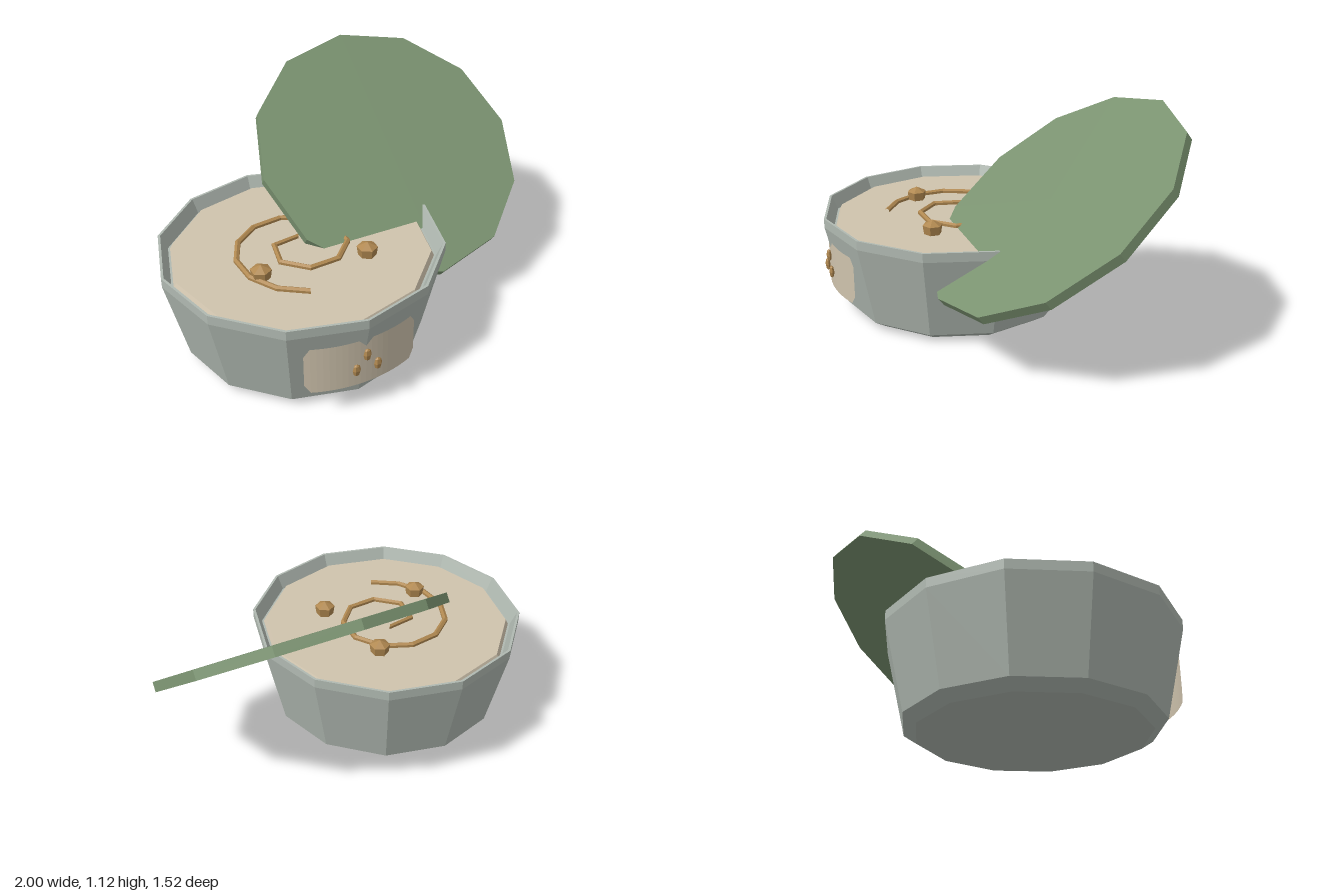
import * as THREE from 'three';

export function createModel() {
  const model = new THREE.Group();
  const paint = (name, color, side = THREE.FrontSide) =>
    new THREE.MeshStandardMaterial({ name, color, flatShading: true, side });
  const grey = paint('tin grey', 0xb0b9b1);
  const green = paint('lid green', 0x7a9270);
  const cream = paint('filling cream', 0xcfc3ad);
  const label = paint('label cream', 0xcfc3ad, THREE.DoubleSide);
  const brown = paint('spice brown', 0xb08850);
  const add = (parent, name, geometry, material, x = 0, y = 0, z = 0) => {
    const mesh = new THREE.Mesh(geometry, material);
    mesh.name = name;
    mesh.position.set(x, y, z);
    parent.add(mesh);
    return mesh;
  };

  // Tin and its contents share one axis
  const tin = new THREE.Group();
  tin.name = 'tin';
  tin.position.set(-0.32, 0, 0.08);
  model.add(tin);

  // Twelve-sided body: foot chamfer, flared wall, rim band, inner wall
  const profile = [[0, 0], [0.525, 0], [0.585, 0.04], [0.68, 0.455], [0.68, 0.5],
    [0.668, 0.5], [0.638, 0.43], [0, 0.43]].map(([r, y]) => new THREE.Vector2(r, y));
  add(tin, 'body', new THREE.LatheGeometry(profile, 12), grey);
  add(tin, 'filling', new THREE.CylinderGeometry(0.615, 0.636, 0.04, 12), cream, 0, 0.435, 0);

  // Swirl lying on the filling
  class Spiral extends THREE.Curve {
    getPoint(t, target = new THREE.Vector3()) {
      const a = THREE.MathUtils.degToRad(108 + 540 * t);
      const r = 0.355 - 0.265 * t;
      return target.set(r * Math.cos(a), 0, r * Math.sin(a));
    }
  }
  add(tin, 'swirl', new THREE.TubeGeometry(new Spiral(), 14, 0.015, 6), brown, 0, 0.46, 0);

  // Six-sided morsels with pointed tops
  const morsel = new THREE.LatheGeometry(
    [[0, -0.035], [0.042, -0.03], [0.05, 0.025], [0, 0.05]].map(([r, y]) => new THREE.Vector2(r, y)), 6);
  for (const [x, z] of [[-0.26, 0.135], [0.25, 0.195], [0.18, -0.24]]) {
    add(tin, 'morsel', morsel, brown, x, 0.474, z);
  }

  // Label: a plate with cut corners, bent around the front of the tin
  const half = 0.425, radius = 0.655;
  const plate = new THREE.PlaneGeometry(2 * half, 0.24, 20, 4);
  const pos = plate.attributes.position;
  for (let i = 0; i < pos.count; i++) {
    const a = pos.getX(i);
    const cut = Math.max(0, Math.abs(a) - half + 0.0425);
    const y = pos.getY(i) * (1 - cut * 8);
    pos.setXYZ(i, radius * Math.sin(a), y, radius * Math.cos(a));
  }
  plate.computeVertexNormals();
  add(tin, 'label', plate, label, 0, 0.262, 0);

  // Three seeds on the label
  const seed = new THREE.SphereGeometry(1, 6, 4).scale(0.02, 0.033, 0.013);
  for (const [x, y] of [[-0.052, 0.237], [0, 0.305], [0.052, 0.237]]) {
    add(tin, 'seed', seed, brown, x, y, 0.666);
  }

  // Lid leaning across the rim
  const lid = add(model, 'lid', new THREE.CylinderGeometry(0.69, 0.69, 0.045, 12), green, 0.305, 0.685, -0.2);
  lid.rotation.x = 0.65;

  return model;
}
